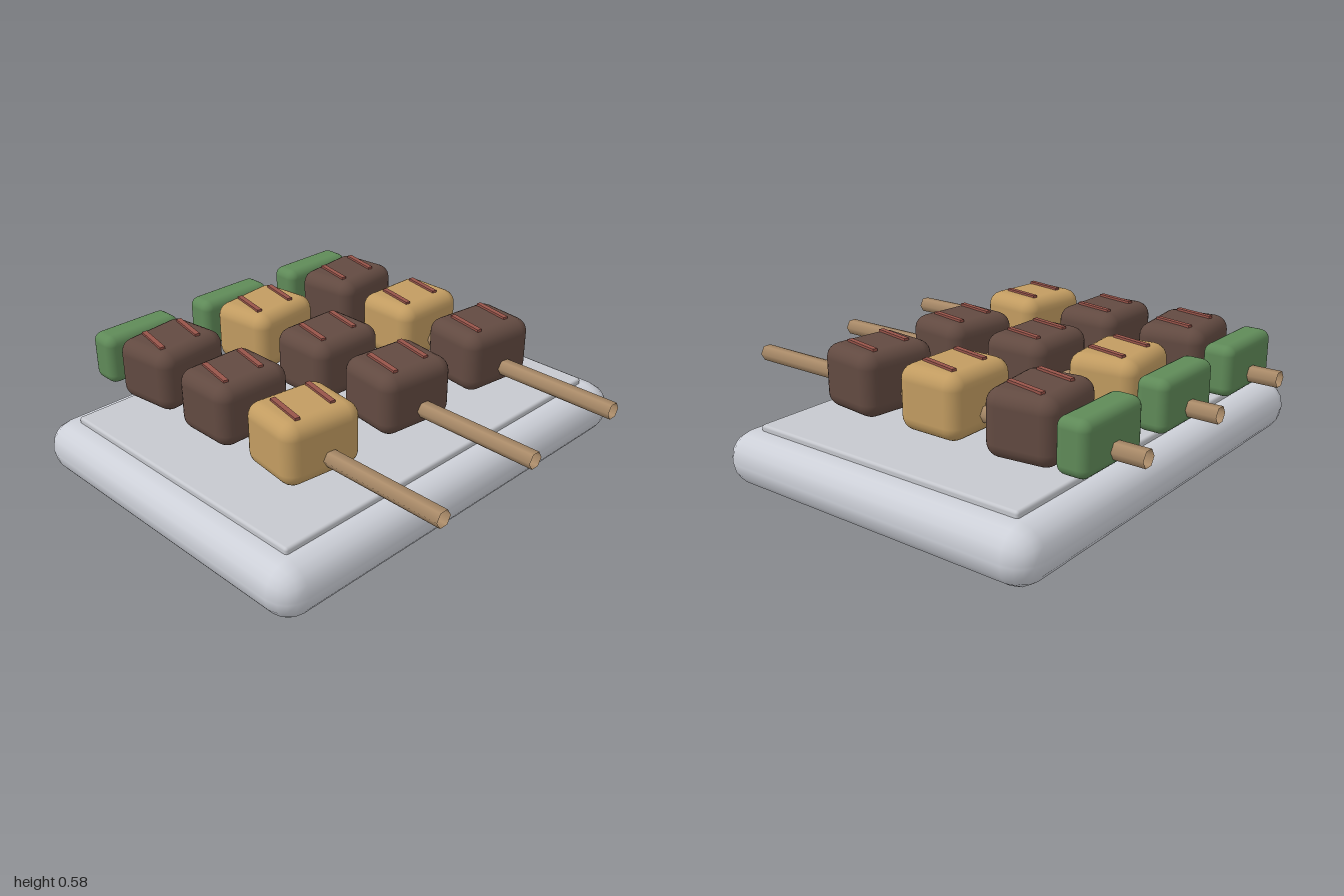
import * as THREE from 'three';
import { RoundedBoxGeometry } from 'three/addons/geometries/RoundedBoxGeometry.js';

function material(name, color, side = THREE.FrontSide) {
  const m = new THREE.MeshStandardMaterial({ color, side });
  m.name = name;
  return m;
}

export function createModel() {
  const model = new THREE.Group();
  model.name = 'skewerPlatter';

  const porcelain = material('pale grey', 0xcdd0d8);
  const inlay = material('inlay grey', 0xc6c8ce);
  const wood = material('skewer wood', 0xa98a68, THREE.DoubleSide);
  const brown = material('grilled brown', 0x624a41);
  const golden = material('golden', 0xc29c61);
  const green = material('pepper green', 0x5f8a58);
  const char = material('grill mark red', 0x97544a);

  function add(parent, name, geometry, mat, x, y, z, turn = 0) {
    const mesh = new THREE.Mesh(geometry, mat);
    mesh.name = name;
    mesh.position.set(x, y, z);
    mesh.rotation.y = turn;
    parent.add(mesh);
    return mesh;
  }

  // Plate with a slightly raised centre panel
  add(model, 'plate', new RoundedBoxGeometry(2, 0.23, 1.53, 2, 0.11), porcelain, 0, 0.115, -0.058);
  add(model, 'platePanel', new RoundedBoxGeometry(1.77, 0.05, 1.285, 2, 0.012), inlay, 0, 0.23, -0.058);

  // Shared food and skewer shapes
  const stickGeometry = new THREE.CylinderGeometry(0.036, 0.036, 1.94, 6, 1, true);
  stickGeometry.rotateY(Math.PI / 6).rotateX(Math.PI / 2);
  const chunkGeometry = new RoundedBoxGeometry(0.35, 0.265, 0.296, 3, 0.06);
  const pepperGeometry = new RoundedBoxGeometry(0.37, 0.215, 0.138, 3, 0.04);
  const markGeometry = new THREE.BoxGeometry(0.022, 0.02, 0.178);

  // Three skewers, each with one golden chunk, two brown chunks and a pepper
  for (let i = 0; i < 3; i++) {
    const skewer = new THREE.Group();
    skewer.name = 'skewer' + (i + 1);
    skewer.position.x = (i - 1) * 0.515;
    model.add(skewer);

    add(skewer, 'stick', stickGeometry, wood, 0, 0.39, 0);
    add(skewer, 'pepper', pepperGeometry, green, 0, 0.432, -0.772);

    const goldenRow = [2, 0, 1][i];
    for (let row = 0; row < 3; row++) {
      const z = -0.52 + row * 0.4;
      const mat = row === goldenRow ? golden : brown;
      add(skewer, 'chunk', chunkGeometry, mat, 0, 0.438, z, (1 - row) * 0.12);
      for (const side of [-1, 1]) {
        add(skewer, 'grillMark', markGeometry, char, side * 0.088, 0.57, z, -0.2);
      }
    }
  }
  return model;
}
